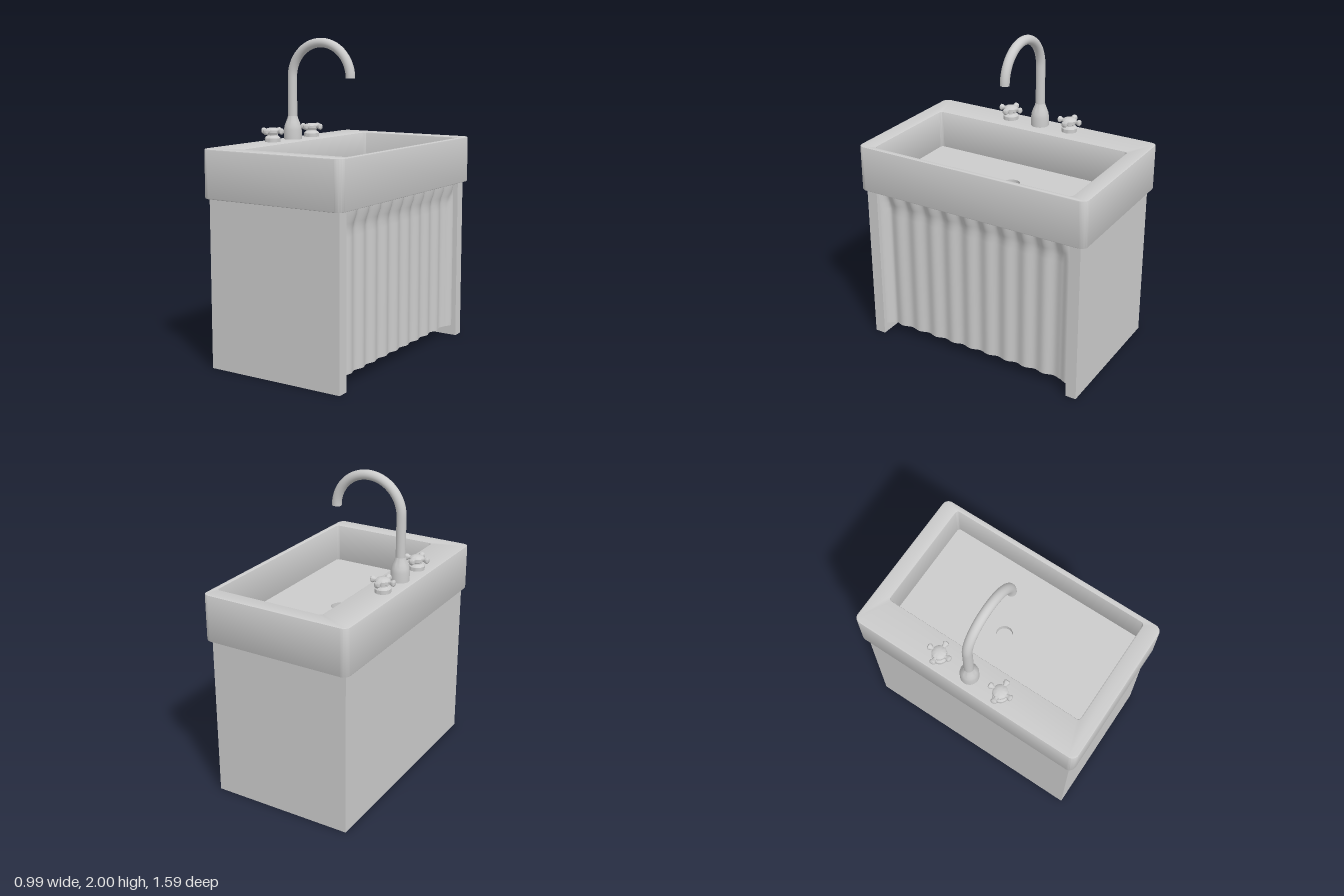
import * as THREE from 'three';
import { toCreasedNormals, mergeVertices } from 'three/addons/utils/BufferGeometryUtils.js';

const mat = new THREE.MeshStandardMaterial({ color: 0xcccccc });
const thin = new THREE.MeshStandardMaterial({ color: 0xcccccc, side: THREE.DoubleSide });

function add(parent, name, geometry, material = mat) {
  const mesh = new THREE.Mesh(geometry, material);
  mesh.name = name;
  parent.add(mesh);
  return mesh;
}

// Rounded rectangle in plan; plan y is -z
function roundedRect(x0, x1, z0, z1, r, Type = THREE.Shape) {
  const s = new Type(), y0 = -z1, y1 = -z0;
  s.absarc(x1 - r, y0 + r, r, -Math.PI / 2, 0);
  s.absarc(x1 - r, y1 - r, r, 0, Math.PI / 2);
  s.absarc(x0 + r, y1 - r, r, Math.PI / 2, Math.PI);
  s.absarc(x0 + r, y0 + r, r, Math.PI, Math.PI * 1.5);
  s.closePath();
  return s;
}

// Extrude a plan shape upward from y0 to y1 with a small edge bevel
function slab(shape, y0, y1, bevel = 0) {
  const g = new THREE.ExtrudeGeometry(shape, {
    depth: y1 - y0 - 2 * bevel, curveSegments: 8, bevelEnabled: bevel > 0,
    bevelThickness: bevel, bevelSize: bevel, bevelOffset: -bevel, bevelSegments: 2,
  });
  g.rotateX(-Math.PI / 2).translate(0, y0 + bevel, 0);
  return toCreasedNormals(g, 0.6);
}

function lathe(points, segments = 32) {
  const g = new THREE.LatheGeometry(points.map(([r, y]) => new THREE.Vector2(r, y)), segments);
  return toCreasedNormals(g, 0.7);
}

function buildBasin() {
  const basin = new THREE.Group();
  basin.name = 'basin';
  const rim = roundedRect(-0.495, 0.49, -0.795, 0.79, 0.045);
  rim.holes.push(roundedRect(-0.27, 0.455, -0.69, 0.68, 0.02, THREE.Path));
  add(basin, 'basinWalls', slab(rim, 1.05, 1.35, 0.008));

  // Floor with a round drain opening
  const floor = roundedRect(-0.28, 0.465, -0.7, 0.69, 0.02);
  floor.holes.push(new THREE.Path().absarc(0.01, 0.035, 0.054, 0, Math.PI * 2));
  add(basin, 'basinFloor', slab(floor, 1.055, 1.1));
  const drain = add(basin, 'drain', new THREE.CylinderGeometry(0.054, 0.054, 0.004, 32));
  drain.position.set(0.01, 1.057, -0.035);
  return basin;
}

function buildCabinet() {
  const cabinet = new THREE.Group();
  cabinet.name = 'cabinet';
  // Three joined walls, open on the +x side
  const walls = new THREE.Shape();
  [[-0.465, -0.757], [0.46, -0.757], [0.46, -0.685], [-0.395, -0.685],
    [-0.395, 0.685], [0.46, 0.685], [0.46, 0.755], [-0.465, 0.755]]
    .forEach(([x, y], i) => (i ? walls.lineTo(x, y) : walls.moveTo(x, y)));
  walls.closePath();
  add(cabinet, 'cabinetWalls', slab(walls, 0, 1.052));

  // Pleated curtain, flaring outward at the top and the two ends
  const g = new THREE.PlaneGeometry(1.36, 0.97, 160, 24);
  g.rotateY(Math.PI / 2).translate(0, 0.555, 0);
  const p = g.attributes.position;
  const smooth = THREE.MathUtils.smoothstep;
  for (let i = 0; i < p.count; i++) {
    const y = p.getY(i), z = p.getZ(i);
    const flare = Math.max(smooth(Math.abs(z), 0.62, 0.68), smooth(y, 0.92, 1.04));
    const pleat = 0.008 * Math.sin(z * Math.PI * 2 * 7.5) * (1 + smooth(y, 0.9, 1.04));
    p.setX(i, 0.405 + pleat + 0.03 * flare);
  }
  g.computeVertexNormals();
  add(cabinet, 'curtain', g, thin);
  return cabinet;
}

function buildFaucet() {
  const faucet = new THREE.Group();
  faucet.name = 'faucet';
  faucet.position.set(-0.4, 0, -0.007);
  add(faucet, 'faucetBase', lathe([[0.058, 1.345], [0.058, 1.41], [0.054, 1.435],
    [0.044, 1.462], [0.035, 1.485], [0.031, 1.5]]));

  // Gooseneck: straight riser, then a half circle over the basin
  const path = new THREE.CurvePath();
  path.add(new THREE.LineCurve3(new THREE.Vector3(0, 1.48, 0), new THREE.Vector3(0, 1.75, 0)));
  const arc = [];
  for (let i = 0; i <= 32; i++) {
    const a = Math.PI * (1 - i / 32);
    arc.push(new THREE.Vector3(0.222 + 0.222 * Math.cos(a), 1.75 + 0.22 * Math.sin(a), 0));
  }
  path.add(new THREE.CatmullRomCurve3(arc));
  add(faucet, 'spout', new THREE.TubeGeometry(path, 80, 0.03, 20), thin);
  const tip = add(faucet, 'spoutOpening', new THREE.CircleGeometry(0.03, 20), thin);
  tip.rotation.x = Math.PI / 2;
  tip.position.set(0.444, 1.752, 0);
  return faucet;
}

function buildHandle(z) {
  const handle = new THREE.Group();
  handle.name = 'tapHandle';
  handle.position.set(-0.4, 0, z);
  add(handle, 'handleHub', lathe([[0.05, 1.345], [0.05, 1.374], [0.043, 1.382], [0.033, 1.39],
    [0.033, 1.398], [0.045, 1.405], [0.045, 1.424], [0.036, 1.434], [0.018, 1.439], [0, 1.44]]));

  // Four flared spokes with rounded ends
  const spoke = lathe([[0.014, 0.03], [0.012, 0.047], [0.014, 0.056], [0.02, 0.065],
    [0.02, 0.074], [0.013, 0.08], [0, 0.082]], 16);
  for (let i = 0; i < 4; i++) {
    const arm = new THREE.Group();
    arm.name = 'handleSpoke';
    arm.position.y = 1.417;
    arm.rotation.y = i * Math.PI / 2;
    add(arm, 'spokeKnob', spoke).rotation.z = -Math.PI / 2;
    handle.add(arm);
  }
  return handle;
}

export function createModel() {
  const model = new THREE.Group();
  model.name = 'utilitySink';
  model.add(buildBasin(), buildCabinet(), buildFaucet(), buildHandle(0.212), buildHandle(-0.222));
  return model;
}
